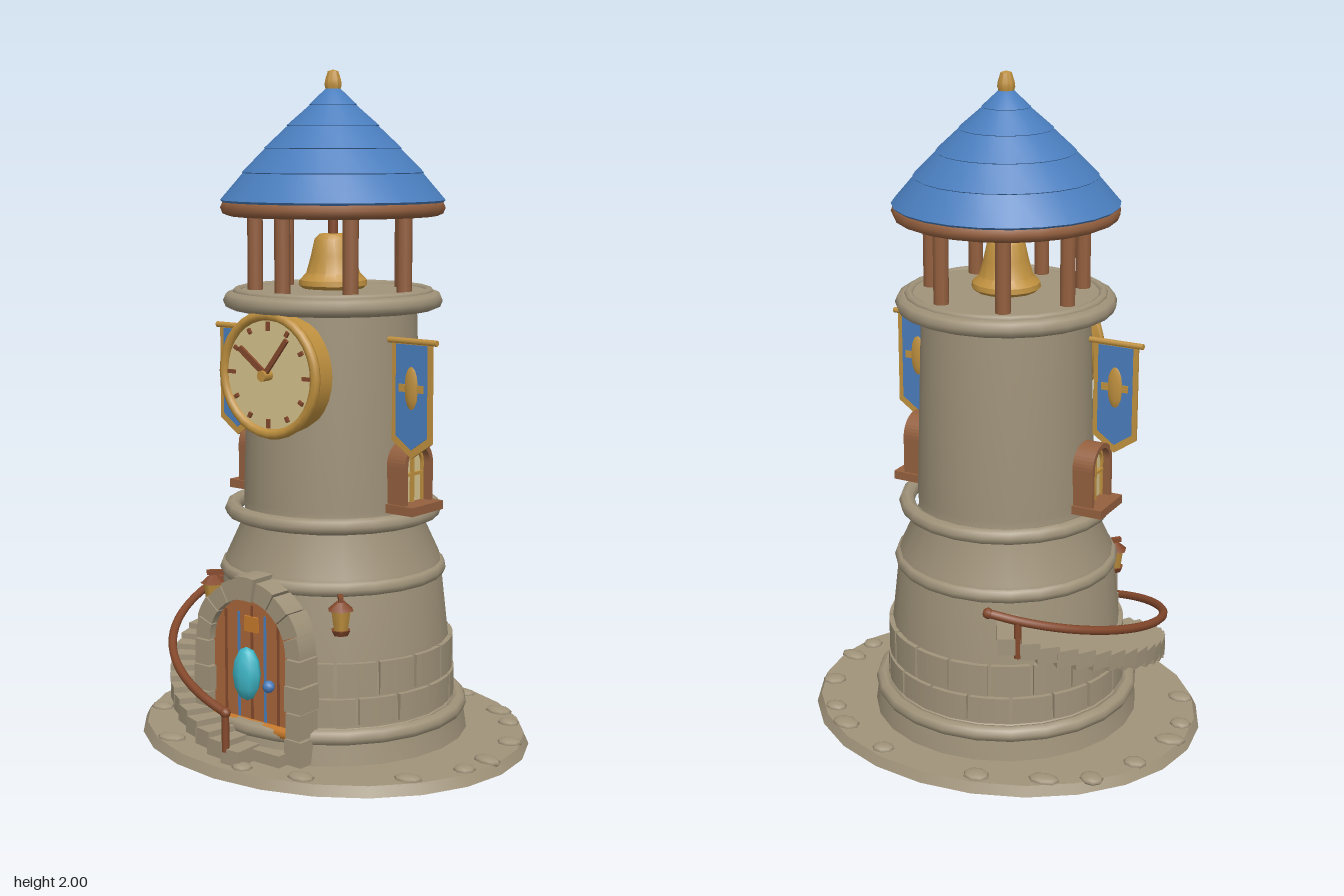
import * as THREE from 'three';
import { toCreasedNormals } from 'three/addons/utils/BufferGeometryUtils.js';

const mat = (name, color) => {
  const m = new THREE.MeshStandardMaterial({ color });
  m.name = name;
  return m;
};

export function createModel() {
  const model = new THREE.Group();
  model.name = 'clockTower';
  const stone = mat('stone', 0xa0937a);
  const blue = mat('blue', 0x4a7ebe);
  const wood = mat('wood', 0x94603f);
  const darkWood = mat('dark wood', 0x85492c);
  const door = mat('door wood', 0xa9653a);
  const gold = mat('gold', 0xc0913f);
  const cream = mat('cream', 0xd8c48d);
  const cyan = mat('crystal', 0x40b8c8);
  const orange = mat('orange', 0xc77a2c);

  const add = (name, geo, material, x = 0, y = 0, z = 0, parent = model) => {
    const m = new THREE.Mesh(geo, material);
    m.name = name;
    m.position.set(x, y, z);
    parent.add(m);
    return m;
  };
  const group = (name, parent = model) => {
    const g = new THREE.Group();
    g.name = name;
    parent.add(g);
    return g;
  };
  const box = (w, h, d) => new THREE.BoxGeometry(w, h, d);
  const cyl = (a, b, h, n = 8) => new THREE.CylinderGeometry(a, b, h, n);
  const lathe = (pts, n = 24) => toCreasedNormals(
    new THREE.LatheGeometry(pts.map(p => new THREE.Vector2(p[0], p[1])), n), 0.6);
  const extrude = (shape, depth) => new THREE.ExtrudeGeometry(shape, { depth, bevelEnabled: false, curveSegments: 10 });
  const arch = (r, h) => {
    const s = new THREE.Shape();
    s.moveTo(-r, 0);
    s.lineTo(r, 0);
    s.lineTo(r, h);
    s.absarc(0, h, r, 0, Math.PI, false);
    s.closePath();
    return s;
  };
  // Block bent around an arc; angles in the shape plane
  const arcBlock = (r0, r1, a0, a1, depth) => {
    const s = new THREE.Shape();
    s.absarc(0, 0, r1, a0, a1, false);
    s.absarc(0, 0, r0, a1, a0, true);
    s.closePath();
    return new THREE.ExtrudeGeometry(s, { depth, bevelEnabled: false, curveSegments: 3 });
  };

  // Oval ground slab with cobbles
  add('groundSlab', cyl(0.605, 0.62, 0.03, 24), stone, 0, 0.02, 0).scale.z = 0.872;
  const cobbles = [[-.15, -.47], [.17, -.465], [.35, -.39], [.435, -.315], [.535, -.17], [.57, 0], [.56, .1], [.48, .26],
    [.24, .44], [.06, .485], [-.27, .43], [-.495, .24], [-.56, .085], [-.57, -.02], [-.53, -.19], [-.455, -.33], [-.335, -.4]];
  cobbles.forEach(([x, z], i) => {
    const c = add('cobble', new THREE.SphereGeometry(1, 8, 6), stone, x, 0.036, z);
    c.scale.set(0.04 + 0.008 * Math.sin(i * 4), 0.013, 0.031 + 0.003 * Math.cos(i * 3));
    c.rotation.y = 0.3 * Math.sin(i * 2);
  });

  // Tower body
  add('towerBody', lathe([[0.41, 0.03], [0.4, 0.1], [0.36, 0.13], [0.352, 0.32], [0.33, 0.52], [0.325, 0.56], [0.265, 0.69],
    [0.268, 0.74], [0.25, 1.32], [0.29, 1.34], [0.29, 1.36], [0, 1.36]]), stone);
  const ring = (name, r, t, y, material = stone) =>
    add(name, new THREE.TorusGeometry(r, t, 8, 24).rotateX(Math.PI / 2), material, 0, y, 0);
  ring('plinthRing', 0.384, 0.024, 0.112);
  ring('lowerRing', 0.318, 0.024, 0.53);
  ring('middleRing', 0.302, 0.024, 0.708);
  ring('balconyRing', 0.3, 0.026, 1.332);
  ring('deckRing', 0.285, 0.014, 1.355);

  // Two staggered rows of facing blocks
  const facing = group('facingBlocks');
  [[0.14, 0.078], [0.224, 0.098]].forEach(([y, h], row) => {
    const n = 18, step = Math.PI * 2 / n;
    for (let i = 0; i < n; i++) {
      const a = (i + row * 0.5) * step;
      add('facingBlock', arcBlock(0.33, 0.368 - row * 0.004, a + 0.014, a + step - 0.014, h).rotateX(-Math.PI / 2), stone, 0, y, 0, facing);
    }
  });

  // Belfry posts, bell and roof
  for (let i = 0; i < 7; i++) {
    const a = i * Math.PI * 2 / 7;
    add('belfryPost', cyl(0.023, 0.023, 0.25), wood, 0.23 * Math.sin(a), 1.48, 0.23 * Math.cos(a));
  }
  add('bell', lathe([[0, 1.375], [0.09, 1.365], [0.102, 1.375], [0.1, 1.39], [0.08, 1.41], [0.066, 1.46], [0.055, 1.51], [0.04, 1.525], [0, 1.527]], 16), gold);
  add('bellYoke', cyl(0.015, 0.015, 0.09), darkWood, 0, 1.56, 0);
  add('roofUnderside', cyl(0.325, 0.315, 0.03, 24), darkWood, 0, 1.6, 0);
  ring('eaveRing', 0.308, 0.024, 1.603, wood);
  const tiers = [[0.332, 1.625], [0.268, 1.705], [0.202, 1.775], [0.136, 1.84], [0.07, 1.9], [0.015, 1.955]];
  for (let i = 0; i < 5; i++) {
    const [r, y] = tiers[i], [r1, y1] = tiers[i + 1];
    add('roofTier', lathe([[0, y], [r - 0.008, y - 0.008], [r, y], [r1 - 0.008, y1 + 0.004], [0, y1 + 0.006]]), blue);
  }
  add('finial', lathe([[0.018, 1.93], [0.026, 1.955], [0.024, 1.97], [0.016, 1.995], [0, 2]], 10), gold);

  // Clock on the front
  const clock = group('clock');
  clock.position.set(0, 1.135, 0);
  add('clockCase', cyl(0.178, 0.178, 0.065, 32).rotateX(Math.PI / 2), gold, 0, 0, 0.255, clock);
  add('clockRim', new THREE.TorusGeometry(0.171, 0.015, 8, 32), gold, 0, 0, 0.29, clock);
  add('clockFace', new THREE.CircleGeometry(0.162, 32), cream, 0, 0, 0.291, clock);
  for (let i = 0; i < 12; i++) {
    const a = i * Math.PI / 6;
    add('hourMark', box(0.011, i % 3 ? 0.016 : 0.026, 0.008), darkWood, 0.14 * Math.sin(a), 0.14 * Math.cos(a), 0.294, clock).rotation.z = -a;
  }
  [['hourHand', -0.1, 0.072, 0.018], ['minuteHand', 0.085, 0.108, 0.014]].forEach(([name, x, y, w], i) => {
    add(name, box(w, Math.hypot(x, y), 0.008), darkWood, x / 2, y / 2, 0.303 + i * 0.01, clock).rotation.z = -Math.atan2(x, y);
  });
  add('clockHub', cyl(0.016, 0.016, 0.035, 10).rotateX(Math.PI / 2), gold, 0, 0, 0.308, clock);

  // Side windows, banners and lanterns
  const bannerShape = (w, top, side, tip) => new THREE.Shape(
    [[-w, top], [-w, side], [0, tip], [w, side], [w, top]].map(p => new THREE.Vector2(...p)));
  for (const s of [1, -1]) {
    const win = group(s > 0 ? 'leftWindow' : 'rightWindow');
    win.rotation.y = s * Math.PI / 2;
    const frame = arch(0.068, 0.125);
    frame.holes.push(arch(0.053, 0.125));
    add('windowFrame', extrude(frame, 0.09), wood, 0, 0.745, 0.23, win);
    add('windowPane', extrude(arch(0.055, 0.125), 0.05), cream, 0, 0.745, 0.24, win);
    const trim = arch(0.054, 0.125);
    trim.holes.push(arch(0.046, 0.12));
    add('windowTrim', extrude(trim, 0.008), gold, 0, 0.745, 0.29, win);
    add('mullion', box(0.009, 0.17, 0.012), gold, 0, 0.83, 0.294, win);
    add('transom', box(0.1, 0.009, 0.012), gold, 0, 0.84, 0.294, win);
    add('windowSill', box(0.15, 0.026, 0.1), wood, 0, 0.745, 0.302, win);

    const banner = group(s > 0 ? 'leftBanner' : 'rightBanner');
    banner.position.set(s * 0.333, 0, 0.053);
    add('bannerPole', cyl(0.009, 0.009, 0.17).rotateZ(Math.PI / 2), gold, 0, 1.234, 0, banner);
    add('bannerBorder', extrude(bannerShape(0.07, 1.23, 0.945, 0.897), 0.008), gold, 0, 0, -0.004, banner);
    add('bannerCloth', extrude(bannerShape(0.055, 1.225, 0.96, 0.922), 0.012), blue, 0, 0, -0.006, banner);
    add('bannerEmblem', new THREE.SphereGeometry(1, 8, 6), gold, 0, 1.1, 0, banner).scale.set(0.029, 0.07, 0.014);
    add('bannerEmblemBar', box(0.085, 0.022, 0.018), gold, 0, 1.1, 0, banner);

    const lantern = group(s > 0 ? 'leftLantern' : 'rightLantern');
    lantern.position.set(s * 0.245, 0, 0.268);
    lantern.rotation.y = s * 0.74;
    add('lanternBracket', box(0.014, 0.014, 0.08), darkWood, 0, 0.515, -0.02, lantern);
    add('lanternCap', cyl(0.012, 0.04, 0.025, 6), darkWood, 0, 0.495, 0, lantern);
    add('lanternGlass', cyl(0.031, 0.022, 0.06, 6), gold, 0, 0.453, 0, lantern);
    add('lanternBase', cyl(0.03, 0.022, 0.016, 6), darkWood, 0, 0.417, 0, lantern);
  }

  // Doorway: stone surround, planked door and hanging crystal
  const doorway = group('doorway');
  for (let i = 0; i < 9; i++) {
    const a = i * Math.PI / 9;
    add('archStone', arcBlock(0.146, i === 4 ? 0.215 : 0.198 + (i % 2) * 0.006, a + 0.012, a + Math.PI / 9 - 0.012, i === 4 ? 0.085 : 0.075), stone, 0, 0.35, 0.32, doorway);
  }
  for (const s of [1, -1]) for (let i = 0; i < 4; i++)
    add('jambStone', box(i % 2 ? 0.052 : 0.062, 0.074, 0.08), stone, s * 0.174, 0.077 + i * 0.078, 0.358, doorway);
  add('doorPanel', extrude(arch(0.15, 0.3), 0.05), door, 0, 0.05, 0.32, doorway);
  for (let i = -2; i <= 2; i++)
    add('plankGap', box(0.007, i ? 0.37 : 0.42, 0.006), i % 2 ? blue : darkWood, i * 0.05, 0.265, 0.371, doorway);
  add('doorBeam', cyl(0.017, 0.017, 0.28).rotateZ(Math.PI / 2), orange, 0, 0.12, 0.375, doorway);
  add('doorPlate', box(0.05, 0.045, 0.008), orange, 0, 0.42, 0.374, doorway);
  add('doorHandle', new THREE.SphereGeometry(0.018, 8, 6), blue, 0.072, 0.25, 0.382, doorway);
  add('doorStep', box(0.3, 0.035, 0.1), stone, 0, 0.055, 0.38, doorway);
  add('crystal', new THREE.SphereGeometry(1, 8, 6), cyan, 0, 0.278, 0.395, doorway).scale.set(0.047, 0.08, 0.034);

  // Stair winding around the right side to the back, with a handrail
  const stair = group('stair');
  const steps = 24, sweep = 2.76;
  for (let i = 0; i < steps; i++) {
    const g = group('stepPivot', stair);
    g.rotation.y = 0.04 - (i / (steps - 1)) * (sweep - 0.08);
    add('step', box(0.066, 0.05, 0.17), stone, 0, 0.055 + i * 0.0173, 0.41, g);
  }
  const railPoints = [];
  for (let i = 0; i <= 16; i++) {
    const t = i / 16, a = t * sweep;
    railPoints.push(new THREE.Vector3(-0.488 * Math.sin(a), 0.185 + 0.37 * t, 0.488 * Math.cos(a)));
  }
  const path = new THREE.CatmullRomCurve3(railPoints);
  add('handrail', new THREE.TubeGeometry(path, 48, 0.013, 8), darkWood, 0, 0, 0, stair);
  for (const i of [0, 15]) {
    const p = railPoints[i];
    add('railPost', cyl(0.011, 0.011, 0.12), darkWood, p.x, p.y - 0.055, p.z, stair);
  }
  for (const i of [0, 16])
    add('railCap', new THREE.SphereGeometry(0.016, 8, 6), darkWood, railPoints[i].x, railPoints[i].y, railPoints[i].z, stair);

  return model;
}
